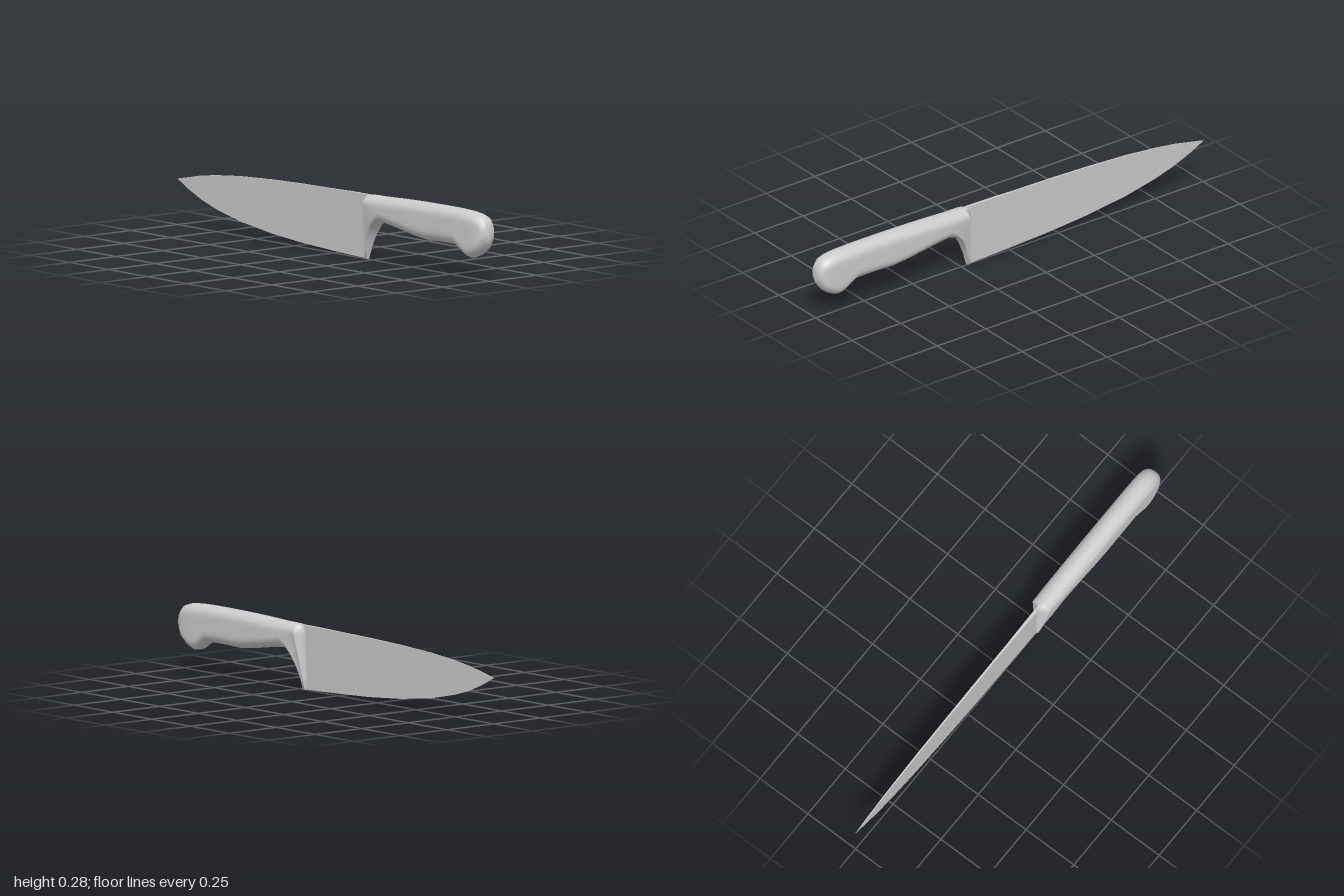
import * as THREE from 'three';
import { toCreasedNormals } from 'three/addons/utils/BufferGeometryUtils.js';

// Skin a list of closed rings (ordered from +z to -z) and cap both ends
function loft(rings, crease) {
  const n = rings[0].length, pos = rings.flat(2), idx = [];
  for (let i = 0; i < rings.length - 1; i++)
    for (let j = 0; j < n; j++) {
      const a = i * n + j, b = i * n + (j + 1) % n;
      idx.push(a, a + n, b, b, a + n, b + n);
    }
  const last = (rings.length - 1) * n;
  for (let j = 1; j < n - 1; j++) idx.push(0, j, j + 1, last, last + j + 1, last + j);
  const g = new THREE.BufferGeometry();
  g.setAttribute('position', new THREE.Float32BufferAttribute(pos, 3));
  g.setIndex(idx);
  return toCreasedNormals(g, crease);
}

// Rounded section between a bottom and a top point; neck = 1 narrows it toward the heel
function section([zb, yb, zt, yt, w, neck = 0]) {
  const h = yt - yb, half = [], steps = 6;
  const rt = Math.min(0.042, h * 0.48);
  const rb = THREE.MathUtils.lerp(rt, 0.003, Math.min(1, neck * 1.3));
  const add = (y, k) => {
    const limit = THREE.MathUtils.lerp(w, Math.min(w, 0.007 + 0.155 * y), neck);
    half.push([limit * k, y, zb + (zt - zb) * (y - yb) / h]);
  };
  for (let i = 0; i <= steps; i++) {
    const a = i / steps * Math.PI / 2;
    add(yb + rb * (1 - Math.cos(a)), Math.sin(a));
  }
  for (let i = 1; i < 5; i++) add(yb + rb + (h - rb - rt) * i / 5, 1);
  for (let i = 0; i <= steps; i++) {
    const a = i / steps * Math.PI / 2;
    add(yt - rt * (1 - Math.sin(a)), i === steps ? 0 : Math.cos(a));
  }
  const mirror = half.slice(1, -1).reverse().map(([x, y, z]) => [-x, y, z]);
  return [...half, ...mirror];
}

export function createModel() {
  const group = new THREE.Group();
  const material = new THREE.MeshStandardMaterial({ color: 0xcccccc });
  const add = (name, geometry) => {
    const mesh = new THREE.Mesh(geometry, material);
    mesh.name = name;
    group.add(mesh);
  };

  // Handle: bottom z, bottom y, top z, top y, half width, neck amount
  const handle = [
    [1.0, 0.175, 1.0, 0.222, 0.022],
    [0.99, 0.15, 0.99, 0.248, 0.034],
    [0.97, 0.122, 0.97, 0.267, 0.042],
    [0.94, 0.1, 0.94, 0.276, 0.045],
    [0.905, 0.086, 0.905, 0.28, 0.046],
    [0.875, 0.092, 0.875, 0.282, 0.046],
    [0.845, 0.112, 0.845, 0.283, 0.046],
    [0.81, 0.13, 0.81, 0.284, 0.046],
    [0.7, 0.13, 0.7, 0.284, 0.046],
    [0.62, 0.127, 0.62, 0.283, 0.046],
    [0.54, 0.135, 0.54, 0.282, 0.046],
    [0.44, 0.151, 0.44, 0.279, 0.046],
    [0.33, 0.166, 0.34, 0.275, 0.046],
    [0.295, 0.157, 0.31, 0.274, 0.046, 0.3],
    [0.265, 0.134, 0.285, 0.274, 0.046, 0.6],
    [0.243, 0.095, 0.268, 0.273, 0.046, 0.9],
    [0.23, 0.05, 0.256, 0.273, 0.046, 1],
    [0.22, 0.001, 0.248, 0.273, 0.046, 1],
    [0.208, 0, 0.24, 0.272, 0.045, 1],
  ].map(section);
  add('handle', loft(handle, 0.75));

  // Bolster: concave taper from the handle outline in to the blade
  const edge = handle[handle.length - 1];
  const taper = [[0, 1], [0.3, 0.55], [0.65, 0.28], [1, 0.14]].map(([t, s]) =>
    edge.map(([x, y, z]) => [x * s, y, z - t * (0.006 + 0.028 * y / 0.272)]));
  add('bolster', loft(taper, 0.6));

  // Blade: bottom z, edge y, top z, spine y, half thickness of the spine
  const blade = [
    [0.205, 0.002, 0.24, 0.271, 0.007],
    [0.1, 0.005, 0.1, 0.27, 0.006],
    [0, 0.009, 0, 0.268, 0.0045],
    [-0.2, 0.018, -0.2, 0.265, 0.004],
    [-0.4, 0.034, -0.4, 0.259, 0.0035],
    [-0.6, 0.06, -0.6, 0.249, 0.003],
    [-0.75, 0.092, -0.75, 0.235, 0.0025],
    [-0.85, 0.122, -0.85, 0.222, 0.002],
    [-0.93, 0.155, -0.93, 0.206, 0.0015],
    [-1, 0.19, -1, 0.192, 0.0005],
  ].map(([zb, yb, zt, yt, t]) =>
    [[-0.0004, yb, zb], [0.0004, yb, zb], [t, yt, zt], [-t, yt, zt]]);
  add('blade', loft(blade, 0.5));

  return group;
}
